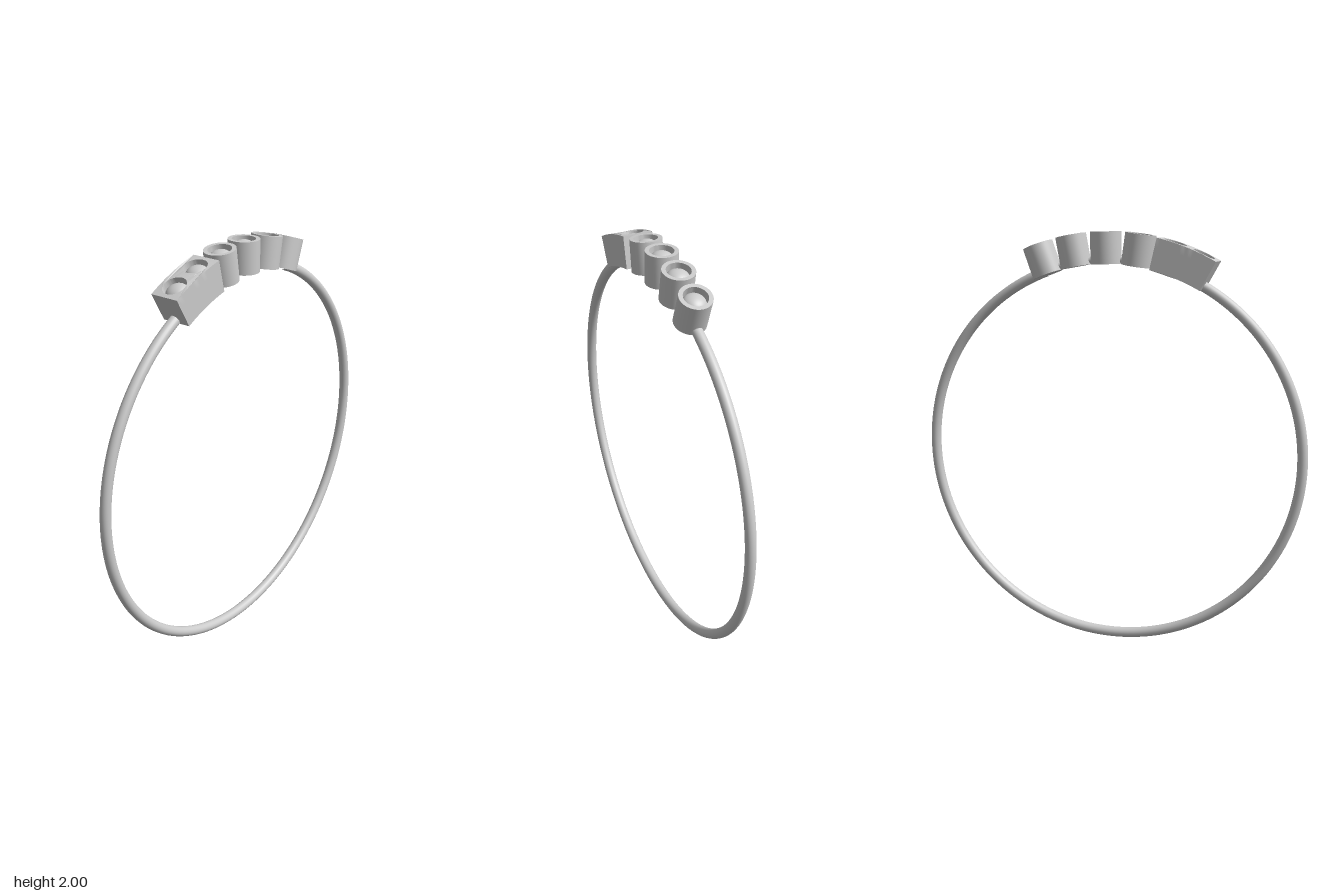
import * as THREE from 'three';
import { toCreasedNormals } from 'three/addons/utils/BufferGeometryUtils.js';

const CENTRE_Y = 0.947; // centre of the band
const R_IN = 0.905, R_OUT = 1.053; // radial extent of the settings
const HOLE = 0.054, HOLE_DEPTH = 0.04;
const rad = THREE.MathUtils.degToRad;
const metal = new THREE.MeshStandardMaterial({ color: 0xcccccc });

function add(parent, name, geometry) {
  const mesh = new THREE.Mesh(geometry, metal);
  mesh.name = name;
  parent.add(mesh);
  return mesh;
}

// Group standing on the band at an angle clockwise from the top; local y is radial
function station(parent, name, degrees) {
  const g = new THREE.Group();
  g.name = name;
  g.rotation.z = -rad(degrees);
  parent.add(g);
  return g;
}

// Arc of round wire, angles clockwise from the top
function wire(parent, name, radius, tube, from, to, segments) {
  const geo = new THREE.TorusGeometry(radius, tube, 20, segments, rad(to - from));
  geo.rotateZ(rad(90 - to));
  return add(parent, name, geo);
}

// Low domed stone seated just under the rim
function stone(parent) {
  const geo = new THREE.SphereGeometry(HOLE * 0.96, 32, 12, 0, Math.PI * 2, 0, Math.PI / 2);
  geo.scale(1, 0.66, 1);
  add(parent, 'stone', geo).position.y = R_OUT - HOLE_DEPTH;
}

// Slab of the bar: flat plan (arc length by depth) extruded radially, then bent round the band
function bentSlab(from, to, halfDepth, rBottom, rTop, holes = []) {
  const a = rad(from) * R_OUT, b = rad(to) * R_OUT, n = 16;
  const shape = new THREE.Shape();
  shape.moveTo(a, -halfDepth);
  for (let i = 1; i <= n; i++) shape.lineTo(a + (b - a) * i / n, -halfDepth);
  for (let i = n; i >= 0; i--) shape.lineTo(a + (b - a) * i / n, halfDepth);
  for (const h of holes) {
    const hole = new THREE.Path();
    hole.absarc(rad(h) * R_OUT, 0, HOLE, 0, Math.PI * 2, true);
    shape.holes.push(hole);
  }
  const geo = new THREE.ExtrudeGeometry(shape, { depth: rTop - rBottom, bevelEnabled: false, curveSegments: 32 });
  const p = geo.attributes.position;
  for (let i = 0; i < p.count; i++) {
    const angle = p.getX(i) / R_OUT, r = rBottom + p.getZ(i);
    p.setXYZ(i, r * Math.sin(angle), r * Math.cos(angle), -p.getY(i));
  }
  return toCreasedNormals(geo, rad(30));
}

export function createModel() {
  const model = new THREE.Group();
  model.name = 'ring';
  const ring = new THREE.Group();
  ring.name = 'ringAssembly';
  ring.position.y = CENTRE_Y;
  model.add(ring);

  // Round band, open beneath the settings, with a thin link joining them
  wire(ring, 'band', 0.922, 0.0245, 19.9, 360 - 27, 160);
  wire(ring, 'settingLink', 0.925, 0.017, -27, 19.9, 32);

  // Four round cups, each holding a stone
  const profile = [
    [0, R_IN], [0.073, R_IN], [0.073, R_OUT], [HOLE, R_OUT],
    [HOLE, R_OUT - HOLE_DEPTH], [0, R_OUT - HOLE_DEPTH],
  ].map(([x, y]) => new THREE.Vector2(x, y));
  const cupGeometry = toCreasedNormals(new THREE.LatheGeometry(profile, 40), rad(30));
  for (const angle of [-8.1, 1.15, 10.5, 19.8]) {
    const g = station(ring, 'roundSetting', angle);
    add(g, 'cup', cupGeometry);
    stone(g);
  }

  // Curved bar holding two stones
  const seats = [-25, -17.2];
  const bar = new THREE.Group();
  bar.name = 'barSetting';
  ring.add(bar);
  add(bar, 'barBase', bentSlab(-29, -13.1, 0.07, R_IN, R_OUT - HOLE_DEPTH));
  add(bar, 'barTop', bentSlab(-29, -13.1, 0.07, R_OUT - HOLE_DEPTH, R_OUT, seats));
  for (const angle of seats) stone(station(bar, 'barSeat', angle));

  return model;
}
